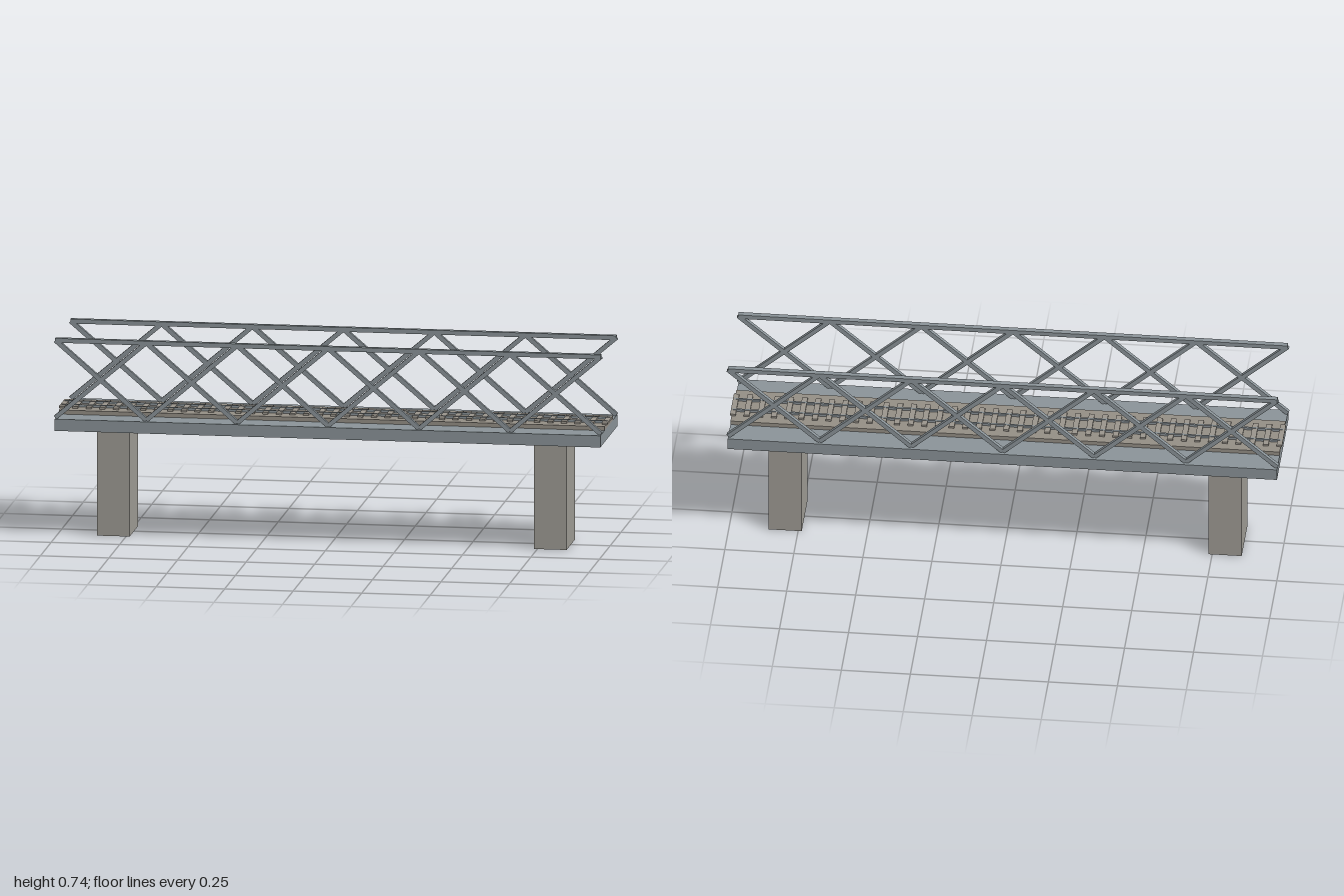
import * as THREE from 'three';

const material = (color) => new THREE.MeshStandardMaterial({ color });

export function createModel() {
  const bridge = new THREE.Group();
  bridge.name = 'trussBridge';
  const steel = material(0x8c959a);
  const concrete = material(0xa09d96);
  const ballastGrey = material(0x969087);
  const sleeperGrey = material(0x9c978e);

  // Adds a box given its size and centre
  function box(parent, name, mat, [w, h, d], [x, y, z]) {
    const mesh = new THREE.Mesh(new THREE.BoxGeometry(w, h, d), mat);
    mesh.name = name;
    mesh.position.set(x, y, z);
    parent.add(mesh);
    return mesh;
  }

  // Deck and piers
  box(bridge, 'deck', steel, [1.99, 0.043, 0.397], [0, 0.4215, 0]);
  for (const x of [-0.797, 0.797]) box(bridge, 'pier', concrete, [0.12, 0.4, 0.2], [x, 0.2, 0]);

  // Track: bed, sleepers and two rails
  const track = new THREE.Group();
  track.name = 'track';
  bridge.add(track);
  box(track, 'trackBed', ballastGrey, [1.99, 0.015, 0.206], [0, 0.4505, 0]);
  const sleepers = 40;
  for (let i = 0; i <= sleepers; i++) {
    const x = -0.99 + (1.98 * i) / sleepers;
    box(track, 'sleeper', sleeperGrey, [0.02, 0.007, 0.136], [x, 0.4615, 0]);
  }
  for (const z of [-0.035, 0.035]) box(track, 'rail', steel, [1.99, 0.009, 0.007], [0, 0.4623, z]);

  // Side trusses: a top chord over six crossed panels
  const panels = 6;
  const span = 1.99 / panels;
  const low = 0.446;
  const high = 0.73;
  for (const z of [-0.179, 0.179]) {
    const truss = new THREE.Group();
    truss.name = 'sideTruss';
    bridge.add(truss);
    box(truss, 'topChord', steel, [1.99, 0.016, 0.02], [0, 0.73, z]);
    for (let i = 0; i < panels; i++) {
      const x = -0.995 + span * (i + 0.5);
      for (const dir of [-1, 1]) {
        const bar = box(truss, 'diagonal', steel,
          [Math.hypot(span, high - low), 0.016, 0.016], [x, (low + high) / 2, z]);
        bar.rotation.z = dir * Math.atan2(high - low, span);
      }
    }
  }
  return bridge;
}
